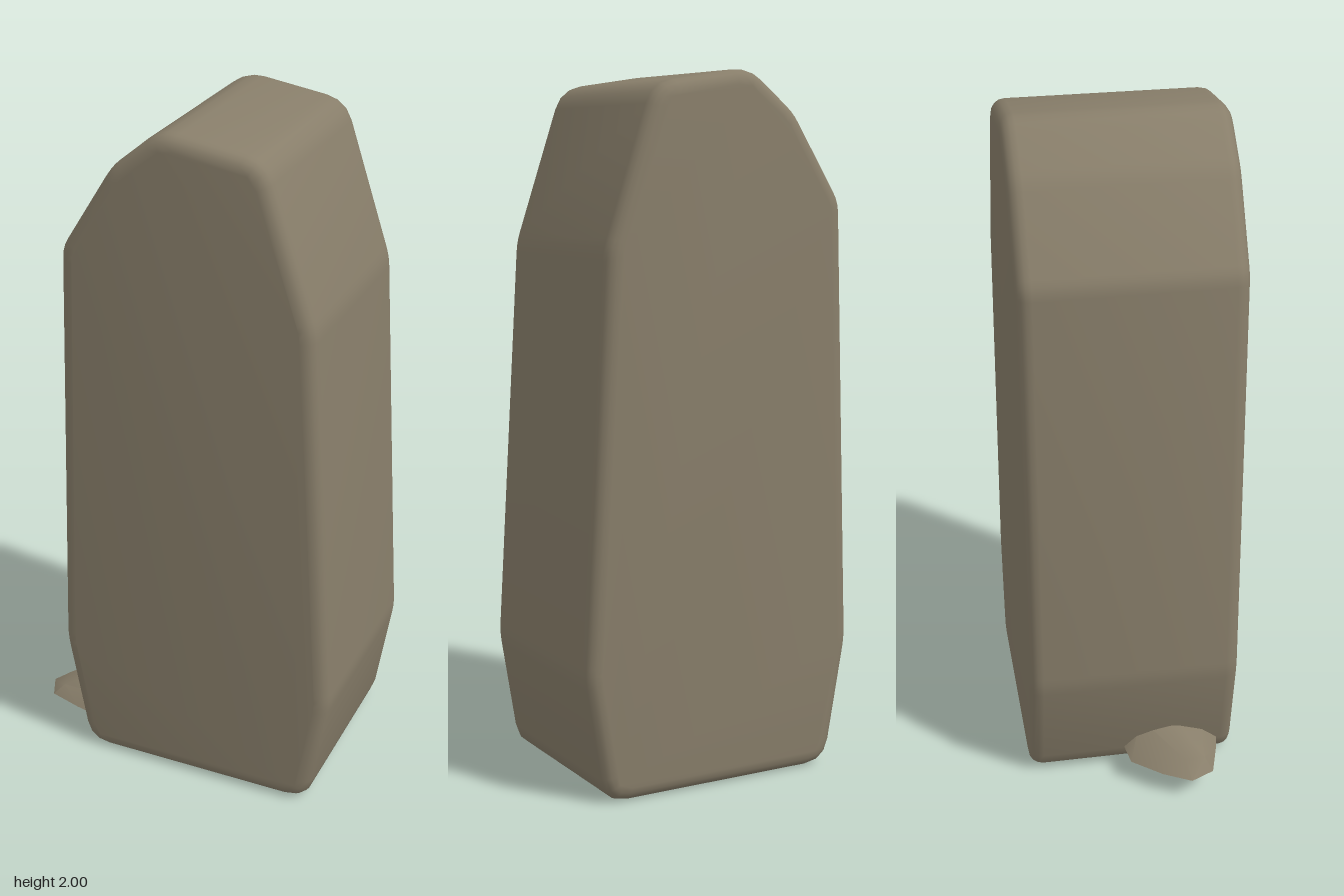
import * as THREE from 'three';
import { toCreasedNormals } from 'three/addons/utils/BufferGeometryUtils.js';
import { ConvexGeometry } from 'three/addons/geometries/ConvexGeometry.js';

// Closed outline with each corner [x, y, cut] eased by a short curve
function roundedOutline(corners) {
  const shape = new THREE.Shape();
  const n = corners.length;
  corners.forEach(([x, y, cut], i) => {
    const p = new THREE.Vector2(x, y);
    const towards = ([qx, qy]) => new THREE.Vector2(qx, qy).sub(p).setLength(cut).add(p);
    const a = towards(corners[(i + n - 1) % n]);
    const b = towards(corners[(i + 1) % n]);
    if (i === 0) shape.moveTo(a.x, a.y);
    else shape.lineTo(a.x, a.y);
    shape.quadraticCurveTo(x, y, b.x, b.y);
  });
  shape.closePath();
  return shape;
}

export function createModel() {
  const group = new THREE.Group();
  const stone = new THREE.MeshStandardMaterial({ color: 0x887e6a });
  stone.name = 'stone';

  // Standing slab: uneven outline, softened edges
  const outline = roundedOutline([
    [-0.295, 0, 0.07], [0.432, 0, 0.07], [0.49, 0.36, 0.03], [0.417, 1.52, 0.03],
    [0.27, 1.96, 0.06], [-0.025, 2.005, 0.05], [-0.17, 1.885, 0.03],
    [-0.323, 1.64, 0.03], [-0.362, 0.37, 0.03],
  ]);
  const bevel = 0.04;
  const depth = 0.624;
  const slabGeo = new THREE.ExtrudeGeometry(outline, {
    depth: depth - 2 * bevel, curveSegments: 3,
    bevelEnabled: true, bevelSize: bevel, bevelThickness: bevel, bevelOffset: -bevel, bevelSegments: 4,
  });
  slabGeo.translate(0, 0, -depth / 2 + bevel);
  const slab = new THREE.Mesh(toCreasedNormals(slabGeo, 0.9), stone);
  slab.name = 'standingSlab';
  group.add(slab);

  // Small flat-bottomed chip of rock poking out at the foot
  const base = [[-0.27, -0.03], [-0.38, -0.015], [-0.45, 0.07], [-0.493, 0.15], [-0.46, 0.22], [-0.36, 0.25], [-0.27, 0.27]];
  const ridge = [[-0.27, 0.145, 0.03], [-0.27, 0.16, 0.12], [-0.33, 0.145, 0.12], [-0.44, 0.11, 0.14], [-0.43, 0.105, 0.2], [-0.27, 0.12, 0.22]];
  const points = [
    ...base.map(([x, z]) => new THREE.Vector3(x, 0.073, z)),
    ...ridge.map((p) => new THREE.Vector3(...p)),
  ];
  const chip = new THREE.Mesh(toCreasedNormals(new ConvexGeometry(points), 0.6), stone);
  chip.name = 'rockChip';
  group.add(chip);

  return group;
}
